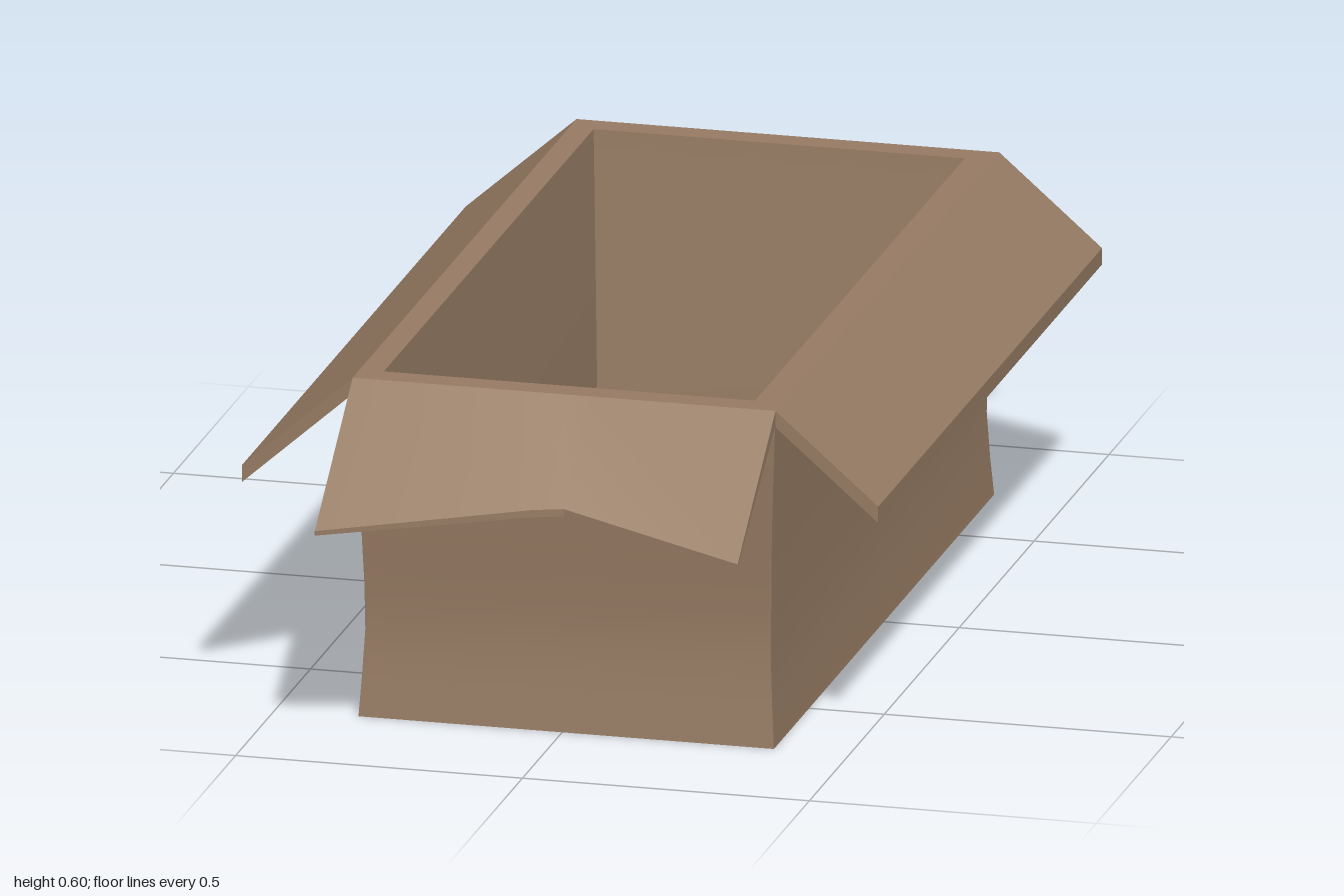
import * as THREE from 'three';
import { toCreasedNormals } from 'three/addons/utils/BufferGeometryUtils.js';

// Closed solid skinned through four-cornered sections, with both ends capped
function loft(sections) {
  const pos = sections.flat(2);
  const index = [];
  const n = sections.length;
  for (let i = 0; i < n - 1; i++) {
    for (let j = 0; j < 4; j++) {
      const k = (j + 1) % 4;
      const a = i * 4 + j, b = i * 4 + k, c = b + 4, d = a + 4;
      index.push(a, b, c, a, c, d);
    }
  }
  const e = (n - 1) * 4;
  index.push(0, 2, 1, 0, 3, 2, e, e + 1, e + 2, e, e + 2, e + 3);
  const geo = new THREE.BufferGeometry();
  geo.setAttribute('position', new THREE.Float32BufferAttribute(pos, 3));
  geo.setIndex(index);
  return toCreasedNormals(geo, 0.35);
}

// Horizontal rectangle at height y
const ring = (y, x0, x1, z) => [[x0, y, z], [x1, y, z], [x1, y, -z], [x0, y, -z]];

export function createModel() {
  const group = new THREE.Group();
  const cardboard = new THREE.MeshStandardMaterial({ color: 0x967b63 });
  cardboard.name = 'cardboard';

  const add = (name, sections) => {
    const mesh = new THREE.Mesh(loft(sections), cardboard);
    mesh.name = name;
    group.add(mesh);
  };

  const left = -0.362, right = 0.375, depth = 0.747, top = 0.602;

  // Open box: outside wall pinched at the waist, flat rim, inside wall, floor
  add('boxBody', [
    ring(0, -0.355, 0.369, 0.735),
    ring(0.07, -0.351, 0.364, 0.727),
    ring(0.15, -0.347, 0.36, 0.72),
    ring(0.23, -0.348, 0.361, 0.722),
    ring(0.32, -0.351, 0.363, 0.729),
    ring(0.42, -0.356, 0.367, 0.737),
    ring(top, left, right, depth),
    ring(top, -0.32, 0.327, 0.7),
    ring(0.4, -0.313, 0.32, 0.685),
    ring(0.18, -0.305, 0.311, 0.665),
    ring(0.045, -0.305, 0.311, 0.657),
  ]);

  // Long side flaps, folded outwards and down
  const sideFlap = (name, hingeX, tipX, tipTop, tipBottom) => {
    const s = Math.sign(hingeX);
    add(name, [s, -s].map((d) => [
      [hingeX, top, d * depth], [tipX, tipTop, d * depth],
      [tipX, tipBottom, d * depth], [hingeX, 0.573, d * depth],
    ]));
  };
  sideFlap('leftFlap', right, 0.554, 0.447, 0.418);
  sideFlap('rightFlap', left, -0.555, 0.432, 0.402);

  // End flaps with a shallow notch: x, tip z, tip top, tip bottom
  const columns = [
    [left, 1, 0.408, 0.4],
    [0.005, 0.952, 0.46, 0.447],
    [0.055, 0.934, 0.46, 0.447],
    [right, 1, 0.408, 0.402],
  ];
  const endFlap = (name, s) => {
    const sections = columns.map(([x, z, y1, y0]) => [
      [x, top, s * depth], [x, y1, s * z], [x, y0, s * z], [x, 0.577, s * depth],
    ]);
    add(name, s > 0 ? sections : sections.reverse());
  };
  endFlap('frontFlap', 1);
  endFlap('backFlap', -1);

  return group;
}
